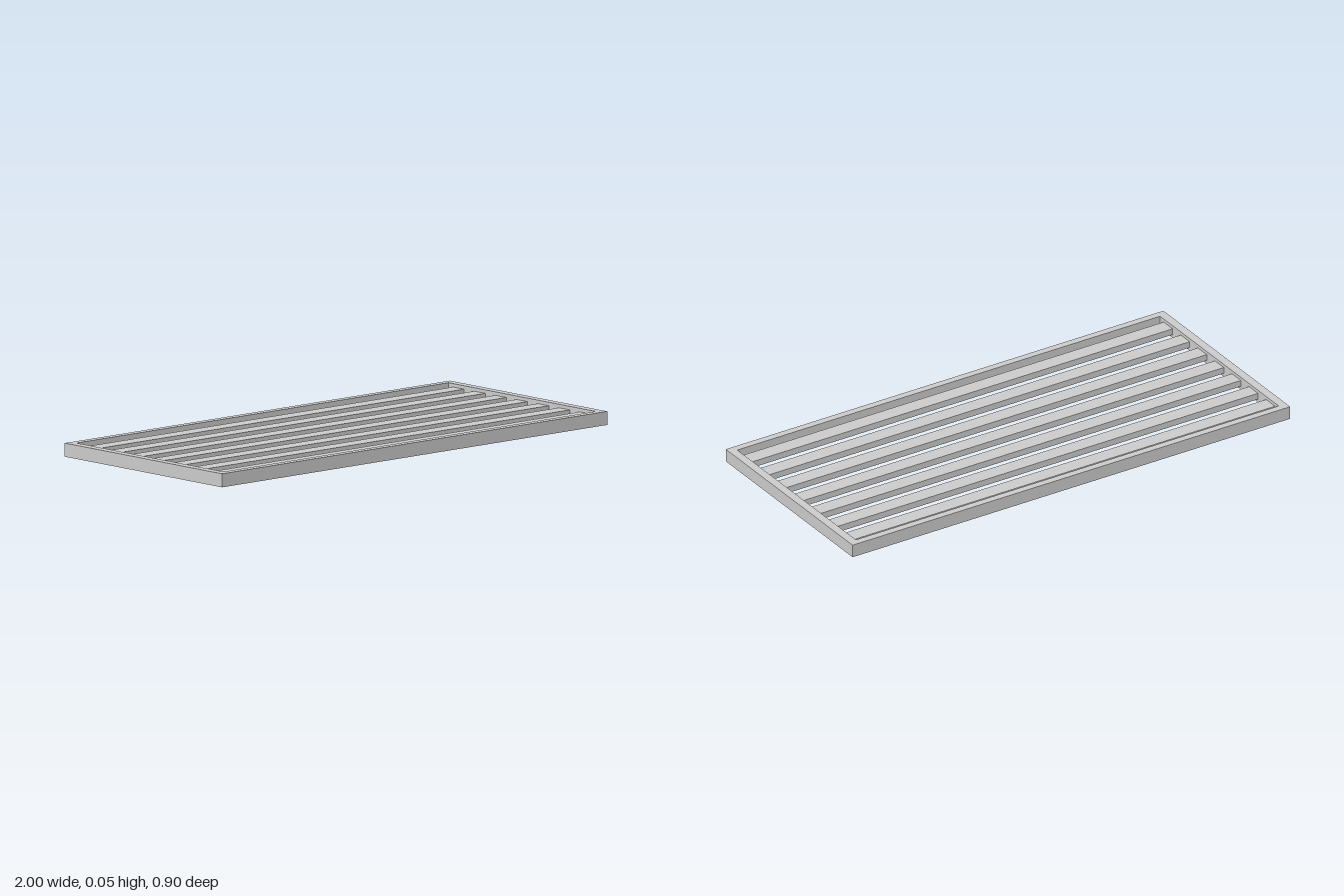
import * as THREE from 'three';

const WIDTH = 2, DEPTH = 0.896, HEIGHT = 0.053;
const INNER_X = 0.966, INNER_Z = 0.419;
const SLATS = 7, PITCH = 0.1206, SLAT_WIDTH = 0.063, SLAT_THICKNESS = 0.026;

// Closed rectangle outline centred on the origin
function rectangle(PathType, hx, hy) {
  return new PathType([[-hx, -hy], [hx, -hy], [hx, hy], [-hx, hy]]
    .map(([x, y]) => new THREE.Vector2(x, y)));
}

export function createModel() {
  const group = new THREE.Group();
  group.name = 'slattedGrate';
  const material = new THREE.MeshStandardMaterial({ color: 0xcccccc, flatShading: true });

  // Rectangular outer frame, open in the middle
  const outline = rectangle(THREE.Shape, WIDTH / 2, DEPTH / 2);
  outline.holes.push(rectangle(THREE.Path, INNER_X, INNER_Z));
  const frameGeometry = new THREE.ExtrudeGeometry(outline, { depth: HEIGHT, bevelEnabled: false });
  frameGeometry.rotateX(-Math.PI / 2);
  const frame = new THREE.Mesh(frameGeometry, material);
  frame.name = 'frame';
  group.add(frame);

  // Evenly spaced slats, recessed between the side rails
  const slatGeometry = new THREE.BoxGeometry(INNER_X * 2, SLAT_THICKNESS, SLAT_WIDTH);
  for (let i = 0; i < SLATS; i++) {
    const slat = new THREE.Mesh(slatGeometry, material);
    slat.name = `slat${i + 1}`;
    slat.position.set(0, HEIGHT / 2, (i - (SLATS - 1) / 2) * PITCH);
    group.add(slat);
  }
  return group;
}
